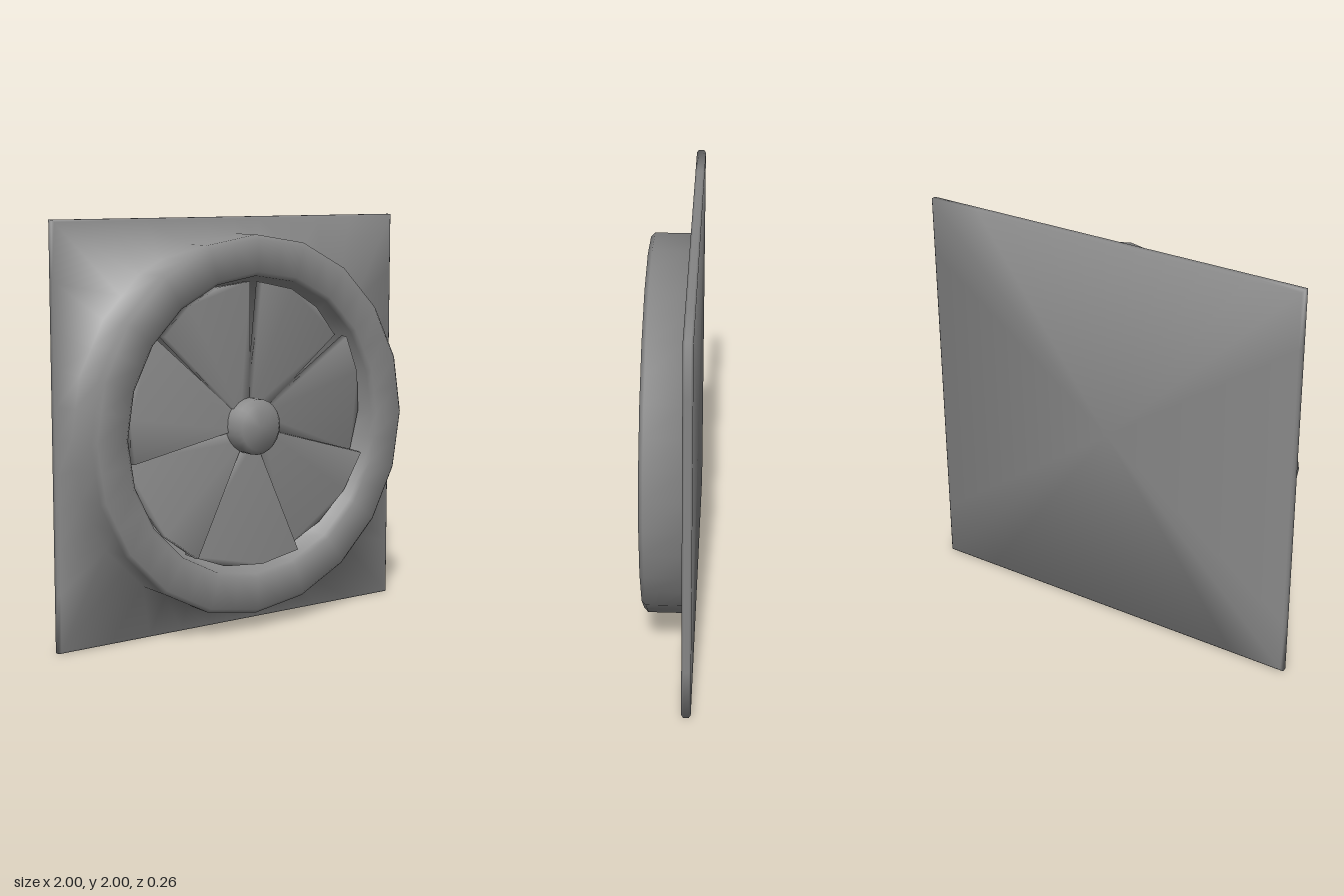
import * as THREE from 'three';
import { mergeVertices, toCreasedNormals } from 'three/addons/utils/BufferGeometryUtils.js';

const material = new THREE.MeshStandardMaterial({ color: 0x888888 });

function part(name, geometry, parent) {
  const mesh = new THREE.Mesh(geometry, material);
  mesh.name = name;
  parent.add(mesh);
  return mesh;
}

// Soft normals: every face around a corner counts equally
function softNormals(geometry) {
  const g = geometry.toNonIndexed();
  g.computeVertexNormals();
  const { position, normal } = g.attributes;
  const sums = new Map();
  const keys = [];
  for (let i = 0; i < position.count; i++) {
    const key = [position.getX(i), position.getY(i), position.getZ(i)].map((v) => Math.round(v * 1e4)).join();
    if (!sums.has(key)) sums.set(key, new THREE.Vector3());
    sums.get(key).add(new THREE.Vector3().fromBufferAttribute(normal, i));
    keys.push(key);
  }
  keys.forEach((key, i) => {
    const n = sums.get(key).clone().normalize();
    normal.setXYZ(i, n.x, n.y, n.z);
  });
  return g;
}

// Square plate flowing into a 20-sided ring; rows are [size, z, isSquare]
function housingGeometry(rows) {
  const sides = 40;
  const positions = [];
  const index = [];
  rows.forEach(([size, z, isSquare], i) => {
    for (let j = 0; j < sides; j++) {
      const a = (j / sides) * Math.PI * 2;
      const c = Math.cos(a);
      const s = Math.sin(a);
      const chord = j % 2 ? Math.cos(Math.PI / 20) : 1;
      const r = size * (isSquare ? 1 / Math.max(Math.abs(c), Math.abs(s)) : chord);
      positions.push(r * c, r * s, z);
      if (i === rows.length - 1) continue;
      const k = i * sides + j;
      const next = i * sides + ((j + 1) % sides);
      index.push(k, next, k + sides, next, next + sides, k + sides);
    }
  });
  const g = new THREE.BufferGeometry();
  g.setAttribute('position', new THREE.Float32BufferAttribute(positions, 3));
  g.setIndex(index);
  return softNormals(g);
}

// Flat sector around +x, pitched about its own radial line
function bladeGeometry(inner, outer, span, thickness, pitch) {
  const steps = 3;
  const points = [];
  for (let i = 0; i <= steps; i++) {
    const a = -span / 2 + (span * i) / steps;
    points.push(new THREE.Vector2(outer * Math.cos(a), outer * Math.sin(a)));
  }
  for (const a of [span / 2, -span / 2]) {
    points.push(new THREE.Vector2(inner * Math.cos(a), inner * Math.sin(a)));
  }
  const extruded = new THREE.ExtrudeGeometry(new THREE.Shape(points), { depth: thickness, bevelEnabled: false });
  extruded.deleteAttribute('normal');
  extruded.deleteAttribute('uv');
  const g = mergeVertices(extruded);
  g.computeVertexNormals();
  return g.translate(0, 0, -thickness).rotateX(pitch);
}

export function createModel() {
  const model = new THREE.Group();
  model.name = 'wallFan';
  const fan = new THREE.Group();
  fan.name = 'fan';
  fan.position.y = 1;
  model.add(fan);

  // Back, plate rim, plate front, shroud ring and floor behind the blades
  part('housing', housingGeometry([
    [0, -0.13, true], [0.99, -0.13, true], [1, -0.12, true], [1, -0.095, true], [0.99, -0.085, true],
    [0.92, -0.085], [0.92, 0.09], [0.9, 0.11], [0.745, 0.11], [0.725, 0.09], [0.7, -0.085], [0, -0.085],
  ]), fan);

  // Seven pitched blades, leading edge towards the front
  const blades = new THREE.Group();
  blades.name = 'blades';
  blades.position.z = 0.04;
  fan.add(blades);
  const count = 7;
  const span = (Math.PI * 2) / count;
  const blade = bladeGeometry(0.08, 0.695, span, 0.04, 0.15);
  for (let i = 0; i < count; i++) {
    part('blade', blade, blades).rotation.z = THREE.MathUtils.degToRad(87) - span / 2 - i * span;
  }

  // Hub with a chamfered cap
  const hubProfile = [[0.135, -0.08], [0.135, 0.105], [0.11, 0.13], [0, 0.13]];
  const hub = new THREE.LatheGeometry(hubProfile.map(([r, z]) => new THREE.Vector2(r, z)), 24);
  part('hub', toCreasedNormals(hub.rotateX(Math.PI / 2), 0.9), fan);

  return model;
}
